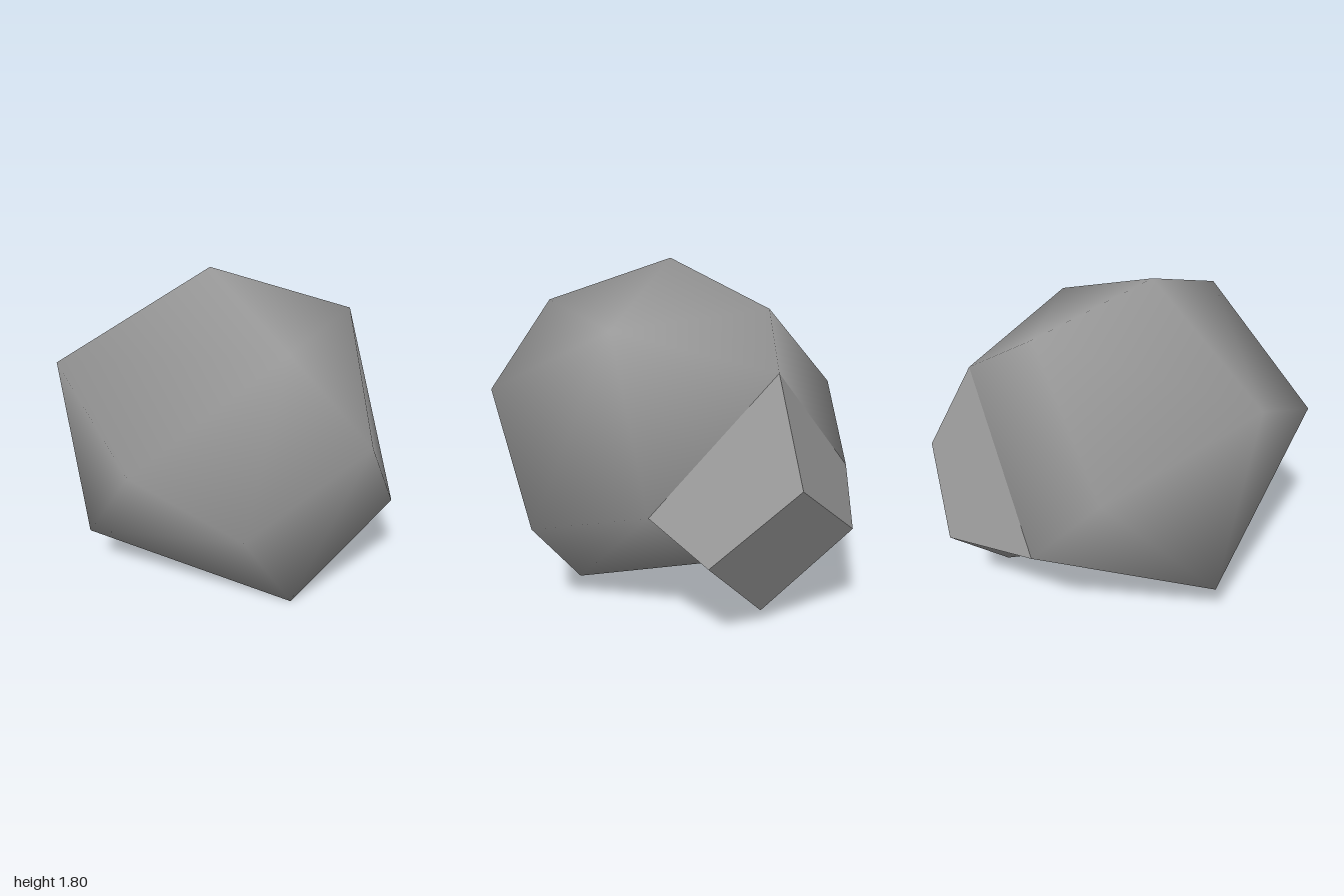
import * as THREE from 'three';
import { ConvexGeometry } from 'three/addons/geometries/ConvexGeometry.js';

const vectors = (list) => list.map((p) => new THREE.Vector3(...p));

// Four-sided faces, each with a single flat normal taken from its diagonals
function flatQuads(quads) {
  const positions = [];
  const normals = [];
  for (const [a, b, c, d] of quads) {
    const normal = c.clone().sub(a).cross(d.clone().sub(b)).normalize();
    for (const corner of [a, b, c, a, c, d]) {
      positions.push(...corner.toArray());
      normals.push(...normal.toArray());
    }
  }
  const geometry = new THREE.BufferGeometry();
  geometry.setAttribute('position', new THREE.Float32BufferAttribute(positions, 3));
  geometry.setAttribute('normal', new THREE.Float32BufferAttribute(normals, 3));
  return geometry;
}

// Normals pointing away from a centre, so a coarse body shades like a ball
function setRadialNormals(geometry, centre) {
  const { position, normal } = geometry.attributes;
  const v = new THREE.Vector3();
  for (let i = 0; i < position.count; i++) {
    v.fromBufferAttribute(position, i).sub(centre).normalize();
    normal.setXYZ(i, v.x, v.y, v.z);
  }
}

export function createModel() {
  const group = new THREE.Group();
  group.name = 'facetedStone';
  const material = new THREE.MeshStandardMaterial({ color: 0x999999 });

  // Ring of four corners where the stub leaves the stone
  const stubBase = vectors([
    [0.86, 0.70, -0.17], [0.46, 1.34, -0.66], [-0.33, 0.67, -0.85], [0.08, 0.16, -0.27],
  ]);
  // Smaller outer end of the stub
  const stubEnd = vectors([
    [0.87, 0.50, -0.47], [0.65, 0.85, -0.84], [0.23, 0.53, -1.0], [0.38, 0.07, -0.58],
  ]);
  // Remaining corners of the stone, from top to bottom
  const stoneCorners = vectors([
    [-0.09, 1.80, 0.11],
    [0.09, 1.58, -0.50], [0.11, 1.57, 0.75], [0.67, 1.52, 0.10], [-0.87, 1.38, 0.12],
    [0.48, 1.13, 0.91], [-0.64, 1.06, 0.77], [-0.64, 1.07, -0.66], [-0.16, 0.78, 1.0],
    [0.83, 0.53, 0.48], [-0.77, 0.29, 0.0], [0.25, 0.0, 0.54],
  ]);

  // Stone: coarse convex body with smooth, ball-like shading
  const stoneGeometry = new ConvexGeometry([...stoneCorners, ...stubBase]);
  setRadialNormals(stoneGeometry, new THREE.Vector3(0.06, 0.94, 0.03));
  const stone = new THREE.Mesh(stoneGeometry, material);
  stone.name = 'stoneBody';

  // Stub: flat-sided tapered block on the back right
  const sides = stubBase.map((corner, i) => {
    const j = (i + 1) % 4;
    return [stubEnd[i], stubEnd[j], stubBase[j], corner];
  });
  const stub = new THREE.Mesh(flatQuads([...sides, [...stubEnd].reverse()]), material);
  stub.name = 'taperedStub';

  group.add(stone, stub);
  return group;
}
